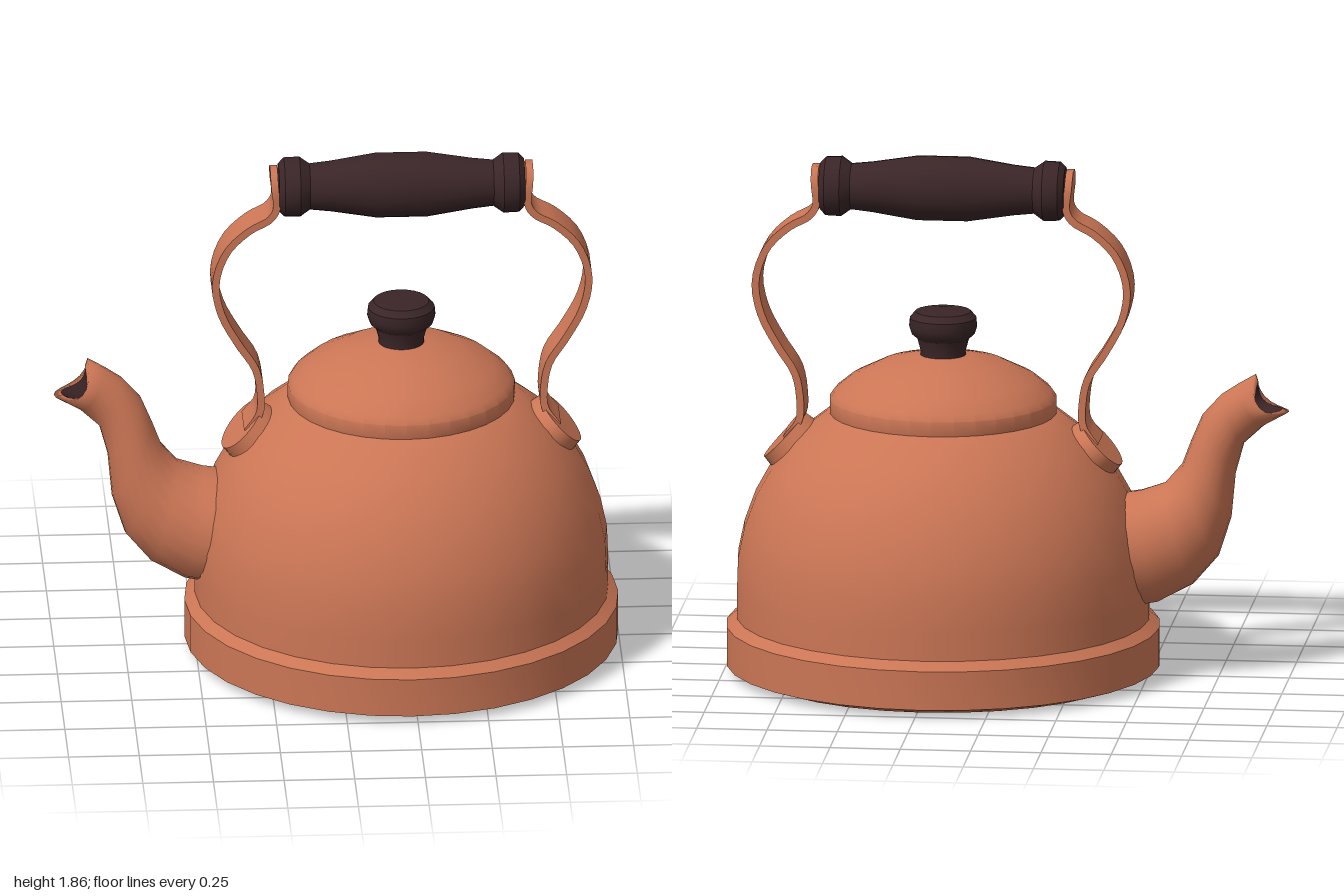
import * as THREE from 'three';
import { toCreasedNormals } from 'three/addons/utils/BufferGeometryUtils.js';

const copper = new THREE.MeshStandardMaterial({ color: 0xcb7655 });
copper.name = 'copper';
const darkWood = new THREE.MeshStandardMaterial({ color: 0x3a2527 });
darkWood.name = 'dark wood';

function mesh(name, geometry, material) {
  const m = new THREE.Mesh(geometry, material);
  m.name = name;
  return m;
}

function lathe(profile, segments, crease = 0.6) {
  const points = profile.map(([r, y]) => new THREE.Vector2(r, y));
  return toCreasedNormals(new THREE.LatheGeometry(points, segments), crease);
}

// Skin a list of closed rings, each an array of Vector3
function loft(rings, capped = false) {
  const n = rings[0].length;
  const index = [];
  for (let i = 0; i < rings.length - 1; i++) {
    for (let j = 0; j < n; j++) {
      const k = (j + 1) % n;
      const a = i * n + j, b = a + n, c = i * n + k, d = c + n;
      index.push(a, b, c, b, d, c);
    }
  }
  if (capped) {
    const e = (rings.length - 1) * n;
    for (let j = 1; j < n - 1; j++) index.push(0, j, j + 1, e, e + j + 1, e + j);
  }
  const g = new THREE.BufferGeometry().setFromPoints(rings.flat());
  g.setIndex(index);
  g.computeVertexNormals();
  return g;
}

// Spout ring from its lower and upper points, half width and side dip
function spoutRing([lx, ly, ux, uy, w, dip = 0]) {
  const ring = [];
  for (let j = 0; j < 20; j++) {
    const a = (j / 20) * Math.PI * 2;
    const c = Math.cos(a), s = Math.sin(a);
    ring.push(new THREE.Vector3(
      (lx + ux) / 2 + ((ux - lx) / 2) * c + dip * 0.73 * s * s,
      (ly + uy) / 2 + ((uy - ly) / 2) * c - dip * 0.68 * s * s,
      w * s));
  }
  return ring;
}

// Bent flat strap with a rounded top end; points hold x, y and half width
function strapGeometry() {
  const curve = new THREE.CatmullRomCurve3([
    [0.452, 1.822, 0.025], [0.452, 1.805, 0.05], [0.45, 1.765, 0.071],
    [0.445, 1.69, 0.072], [0.47, 1.65, 0.072], [0.54, 1.61, 0.072],
    [0.62, 1.53, 0.072], [0.66, 1.41, 0.072], [0.64, 1.29, 0.072],
    [0.58, 1.175, 0.072], [0.52, 1.08, 0.072], [0.502, 0.99, 0.072],
    [0.505, 0.91, 0.075], [0.55, 0.845, 0.085],
  ].map((p) => new THREE.Vector3(...p)));
  const rings = [];
  for (let i = 0; i <= 44; i++) {
    const p = curve.getPoint(i / 44), t = curve.getTangent(i / 44);
    const len = Math.hypot(t.x, t.y);
    const nx = (-t.y / len) * 0.013, ny = (t.x / len) * 0.013;
    rings.push([[1, 1], [1, -1], [-1, -1], [-1, 1]].map(([o, s]) =>
      new THREE.Vector3(p.x + nx * o, p.y + ny * o, p.z * s)));
  }
  return toCreasedNormals(loft(rings, true), 0.7);
}

export function createModel() {
  const model = new THREE.Group();
  model.name = 'kettle';

  // Everything turned around the vertical axis
  const vessel = new THREE.Group();
  vessel.name = 'vessel';
  vessel.position.x = 0.23;
  model.add(vessel);

  vessel.add(mesh('body', lathe([
    [0, 0], [0.69, 0.004], [0.768, 0.03], [0.768, 0.17], [0.732, 0.2],
    [0.732, 0.3], [0.728, 0.42], [0.705, 0.53], [0.665, 0.64], [0.61, 0.74],
    [0.53, 0.84], [0.41, 0.935], [0.36, 0.95],
  ], 32), copper));

  vessel.add(mesh('lid', lathe([
    [0.395, 0.92], [0.402, 0.94], [0.402, 0.99], [0.385, 1.015], [0.33, 1.06],
    [0.22, 1.115], [0.1, 1.145], [0, 1.15],
  ], 32), copper));

  vessel.add(mesh('lidKnob', lathe([
    [0.082, 1.13], [0.08, 1.16], [0.092, 1.205], [0.112, 1.222], [0.121, 1.25],
    [0.118, 1.28], [0.098, 1.302], [0.05, 1.308], [0, 1.308],
  ], 24), darkWood));

  // Wooden grip lying along x
  const grip = mesh('handleGrip', lathe([
    [0, -0.435], [0.085, -0.435], [0.105, -0.415], [0.107, -0.36], [0.082, -0.325],
    [0.09, -0.25], [0.115, -0.09], [0.115, 0.09], [0.09, 0.25], [0.082, 0.325],
    [0.107, 0.36], [0.105, 0.415], [0.085, 0.435], [0, 0.435],
  ], 20), darkWood);
  grip.rotation.z = -Math.PI / 2;
  grip.position.y = 1.747;
  vessel.add(grip);

  // Two straps, each with a round foot lying on the body
  const strap = strapGeometry();
  for (const side of ['left', 'right']) {
    const arm = new THREE.Group();
    arm.name = side + 'HandleArm';
    arm.rotation.y = side === 'left' ? 0 : Math.PI;
    const foot = mesh('strapFoot', toCreasedNormals(
      new THREE.CylinderGeometry(0.125, 0.133, 0.045, 24).scale(0.84, 1, 1), 0.7), copper);
    foot.position.set(0.548, 0.826, 0);
    foot.rotation.z = -0.82;
    arm.add(mesh('strap', strap, copper), foot);
    vessel.add(arm);
  }

  // Curved spout with a turned-in lip and dark hollow
  const lip = [-0.975, 0.975, -0.89, 1.072, 0.07, 0.045];
  const spout = new THREE.Group();
  spout.name = 'spout';
  spout.add(mesh('spoutShell', loft([
    [-0.43, 0.25, -0.36, 0.65, 0.215],
    [-0.54, 0.27, -0.47, 0.668, 0.195],
    [-0.66, 0.335, -0.56, 0.7, 0.165],
    [-0.75, 0.44, -0.62, 0.77, 0.14],
    [-0.795, 0.58, -0.652, 0.855, 0.12],
    [-0.81, 0.74, -0.692, 0.95, 0.1],
    [-0.84, 0.85, -0.76, 1.025, 0.085],
    [-0.91, 0.915, -0.82, 1.065, 0.083, 0.01],
    [-1.0, 0.967, -0.88, 1.1, 0.092, 0.05],
    lip,
  ].map(spoutRing)), copper));
  spout.add(mesh('spoutHollow', loft([
    lip,
    [-0.9, 0.935, -0.83, 1.04, 0.062, 0.01],
    [-0.825, 0.86, -0.765, 0.99, 0.06],
    [-0.79, 0.91, -0.79, 0.911, 0.001],
  ].map(spoutRing)), darkWood));
  model.add(spout);

  return model;
}
